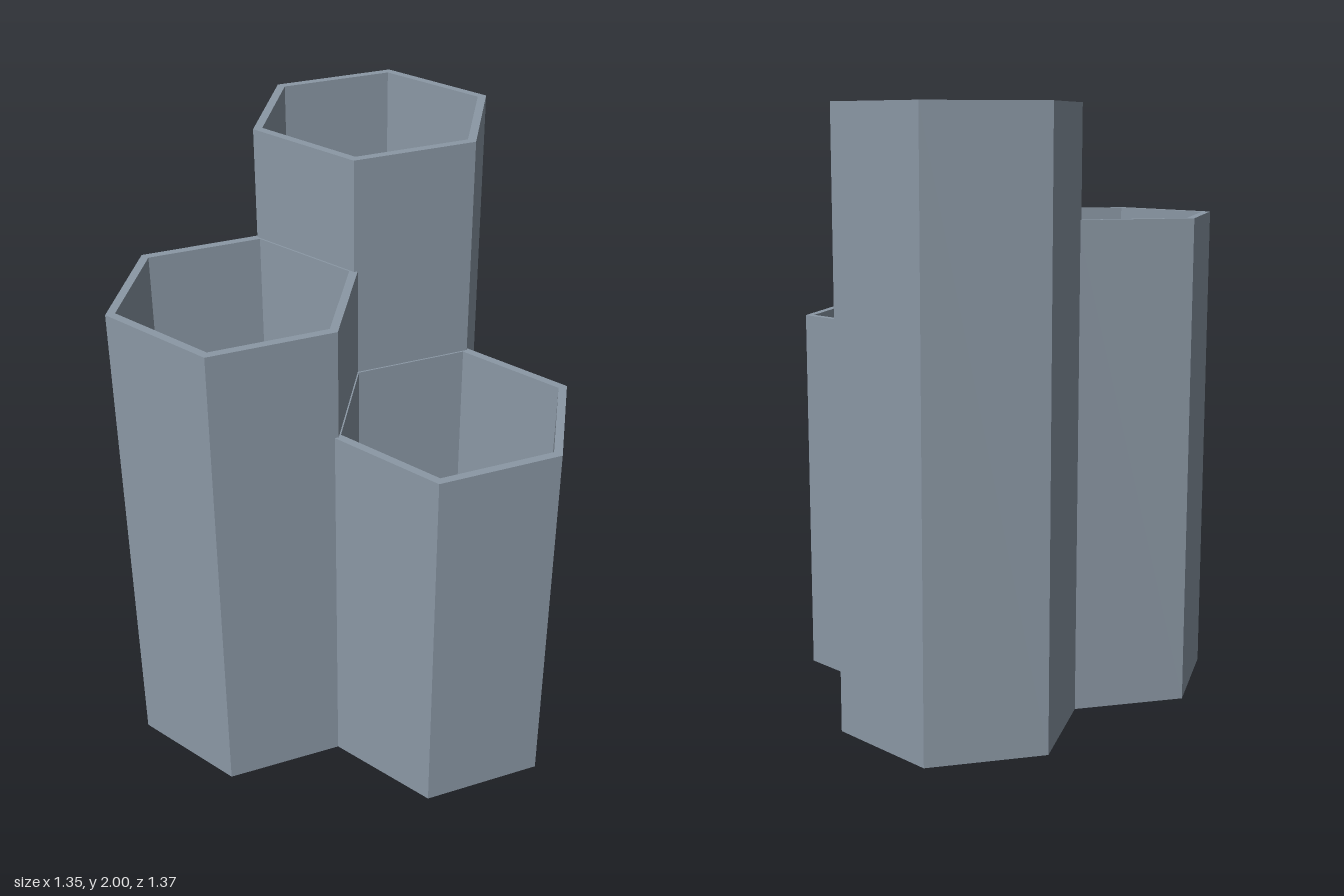
import * as THREE from 'three';

const OUTER = 0.397, INNER = 0.367, FLOOR = 0.03;

// Open hexagonal cup with a closed floor, one corner facing +z
function hexCup(height) {
  const profile = [
    [0, 0], [OUTER, 0], [OUTER, height], [INNER, height], [INNER, FLOOR], [0, FLOOR],
  ].map(([r, y]) => new THREE.Vector2(r, y));
  const geometry = new THREE.LatheGeometry(profile, 6).toNonIndexed();
  geometry.computeVertexNormals();
  return geometry;
}

export function createModel() {
  const group = new THREE.Group();
  group.name = 'hexagonalPenHolder';

  const slate = new THREE.MeshStandardMaterial({ color: 0x8b98a5, flatShading: true });
  slate.name = 'slateGrey';

  // Three touching cups of stepped height
  const cups = [
    ['tallBackCup', 0, -0.29, 2],
    ['middleRightCup', -0.333, 0.288, 1.635],
    ['shortLeftCup', 0.333, 0.288, 1.275],
  ];
  for (const [name, x, z, height] of cups) {
    const cup = new THREE.Mesh(hexCup(height), slate);
    cup.name = name;
    cup.position.set(x, 0, z);
    group.add(cup);
  }
  return group;
}
